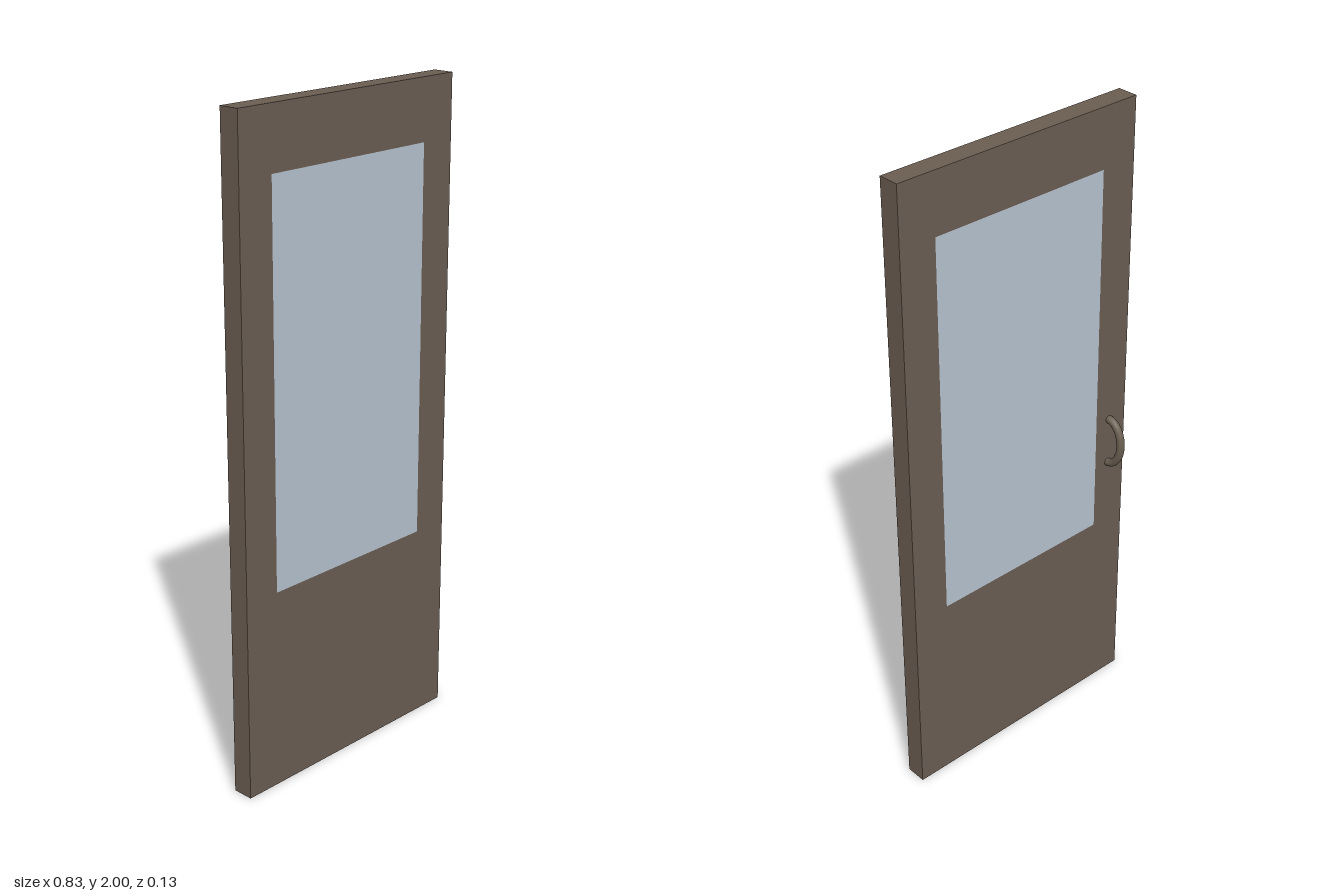
import * as THREE from 'three';

const WIDTH = 0.834, HEIGHT = 2, BACK = -0.002, FRONT = 0.063;
const DEPTH = FRONT - BACK;
const WINDOW = { x: 0.3, bottom: 0.62, top: 1.816 };

function rectangle(target, x, bottom, top) {
  target.moveTo(-x, bottom);
  target.lineTo(x, bottom);
  target.lineTo(x, top);
  target.lineTo(-x, top);
  target.closePath();
  return target;
}

export function createModel() {
  const door = new THREE.Group();
  door.name = 'door';
  const add = (name, geometry, color) => {
    const mesh = new THREE.Mesh(geometry, new THREE.MeshStandardMaterial({ color }));
    mesh.name = name;
    door.add(mesh);
    return mesh;
  };

  // Slab with a window opening
  const outline = rectangle(new THREE.Shape(), WIDTH / 2, 0, HEIGHT);
  outline.holes.push(rectangle(new THREE.Path(), WINDOW.x, WINDOW.bottom, WINDOW.top));
  const slab = new THREE.ExtrudeGeometry(outline, { depth: DEPTH, bevelEnabled: false });
  add('doorFrame', slab, 0x6b5e53).position.z = BACK;

  // Window pane, flush with both faces
  const pane = new THREE.BoxGeometry(WINDOW.x * 2, WINDOW.top - WINDOW.bottom, DEPTH);
  add('windowPane', pane, 0xb8c4d0)
    .position.set(0, (WINDOW.top + WINDOW.bottom) / 2, (FRONT + BACK) / 2);

  // Bowed pull handle on the back, leaning slightly outwards; ends sunk into the slab
  const points = [new THREE.Vector3(0, -0.077, 0.008)];
  for (let i = 0; i <= 16; i++) {
    const a = -Math.PI / 2 + (Math.PI * i) / 16;
    points.push(new THREE.Vector3(-0.003 * Math.cos(a), 0.077 * Math.sin(a), -0.05 * Math.cos(a)));
  }
  points.push(new THREE.Vector3(0, 0.077, 0.008));
  const bow = new THREE.TubeGeometry(new THREE.CatmullRomCurve3(points), 48, 0.0125, 16);
  add('pullHandle', bow, 0x6b6052).position.set(-0.352, 0.91, BACK);

  return door;
}
